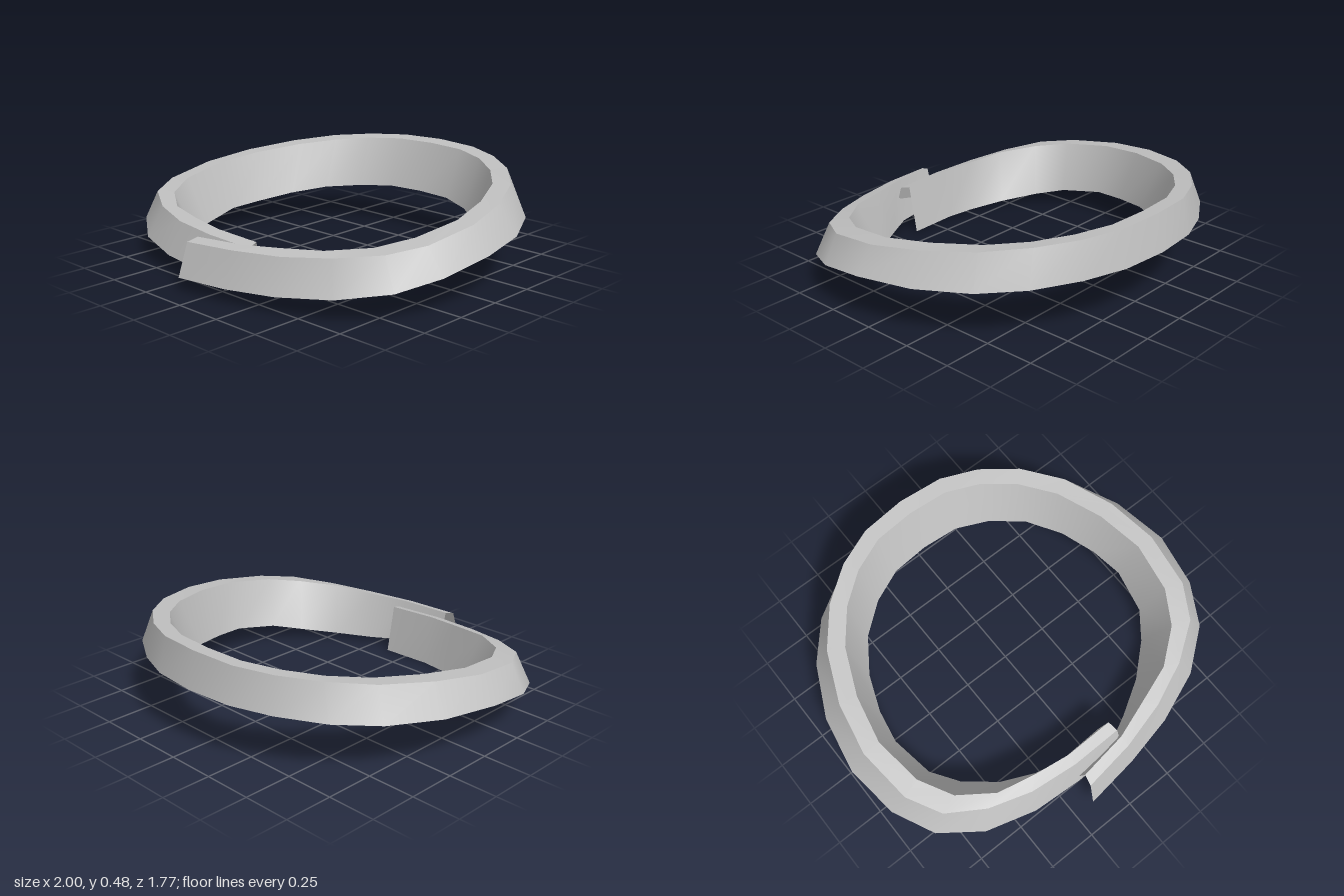
import * as THREE from 'three';

// Folded collar: four edge lines, each listed from centre back to the front tip
// of one side as [x, y, z]; the other side is mirrored.
const hem = [
  [0, 0.3, -0.89], [0.245, 0.298, -0.867], [0.45, 0.29, -0.79], [0.66, 0.28, -0.663], [0.82, 0.265, -0.485],
  [0.945, 0.25, -0.23], [1, 0.235, 0.06], [0.965, 0.19, 0.33], [0.86, 0.145, 0.535], [0.66, 0.11, 0.685],
  [0.4, 0.085, 0.77], [0.135, 0.07, 0.805], [-0.15, 0.065, 0.82],
];
const outerFold = [
  [0, 0.48, -0.85], [0.235, 0.475, -0.83], [0.425, 0.465, -0.755], [0.6, 0.45, -0.63], [0.75, 0.425, -0.45],
  [0.86, 0.395, -0.2], [0.91, 0.36, 0.06], [0.88, 0.32, 0.34], [0.785, 0.295, 0.51], [0.6, 0.27, 0.63],
  [0.38, 0.25, 0.71], [0.13, 0.24, 0.755], [-0.14, 0.23, 0.77],
];
const innerFold = [
  [0, 0.47, -0.77], [0.21, 0.467, -0.755], [0.385, 0.457, -0.685], [0.54, 0.44, -0.57], [0.67, 0.42, -0.41],
  [0.77, 0.395, -0.18], [0.82, 0.365, 0.06], [0.785, 0.33, 0.31], [0.69, 0.3, 0.475], [0.52, 0.28, 0.6],
  [0.32, 0.265, 0.655], [0.13, 0.255, 0.7], [-0.13, 0.245, 0.715],
];
const neckline = [
  [0, 0.215, -0.68], [0.195, 0.213, -0.665], [0.365, 0.2, -0.595], [0.52, 0.185, -0.475], [0.635, 0.16, -0.31],
  [0.705, 0.135, -0.13], [0.735, 0.12, 0.04], [0.695, 0.085, 0.26], [0.6, 0.055, 0.39], [0.445, 0.03, 0.52],
  [0.27, 0.018, 0.61], [0.13, 0.018, 0.66], [-0.13, 0.026, 0.67],
];

// Near the front the left side passes over the right side
const lap = (i) => [0.01, 0.025, 0.045, 0.065][i - 9] ?? 0;

function fullEdge(half, lift = 0) {
  const side = (s) => half.map(([x, y, z], i) => [s * x, y + s * lift * lap(i), z + s * lap(i)]);
  return [...side(-1).reverse(), ...side(1).slice(1)];
}

// Smooth strip between two edge lines, facing away from the fold's hollow
function strip(a, b) {
  const index = [];
  for (let i = 0; i < a.length - 1; i++) {
    const j = 2 * i;
    index.push(j, j + 1, j + 2, j + 1, j + 3, j + 2);
  }
  const geometry = new THREE.BufferGeometry();
  const points = a.flatMap((p, i) => [...p, ...b[i]]);
  geometry.setAttribute('position', new THREE.Float32BufferAttribute(points, 3));
  geometry.setIndex(index);
  geometry.computeVertexNormals();
  return geometry;
}

export function createModel() {
  const group = new THREE.Group();
  group.name = 'collar';
  const cloth = new THREE.MeshStandardMaterial({ color: 0xc0c0c0, side: THREE.DoubleSide });
  cloth.name = 'grey cloth';

  const edges = [fullEdge(hem), fullEdge(outerFold), fullEdge(innerFold), fullEdge(neckline, 0.4)];
  ['outerFlap', 'topFold', 'innerStand'].forEach((name, i) => {
    const mesh = new THREE.Mesh(strip(edges[i], edges[i + 1]), cloth);
    mesh.name = name;
    group.add(mesh);
  });
  return group;
}
